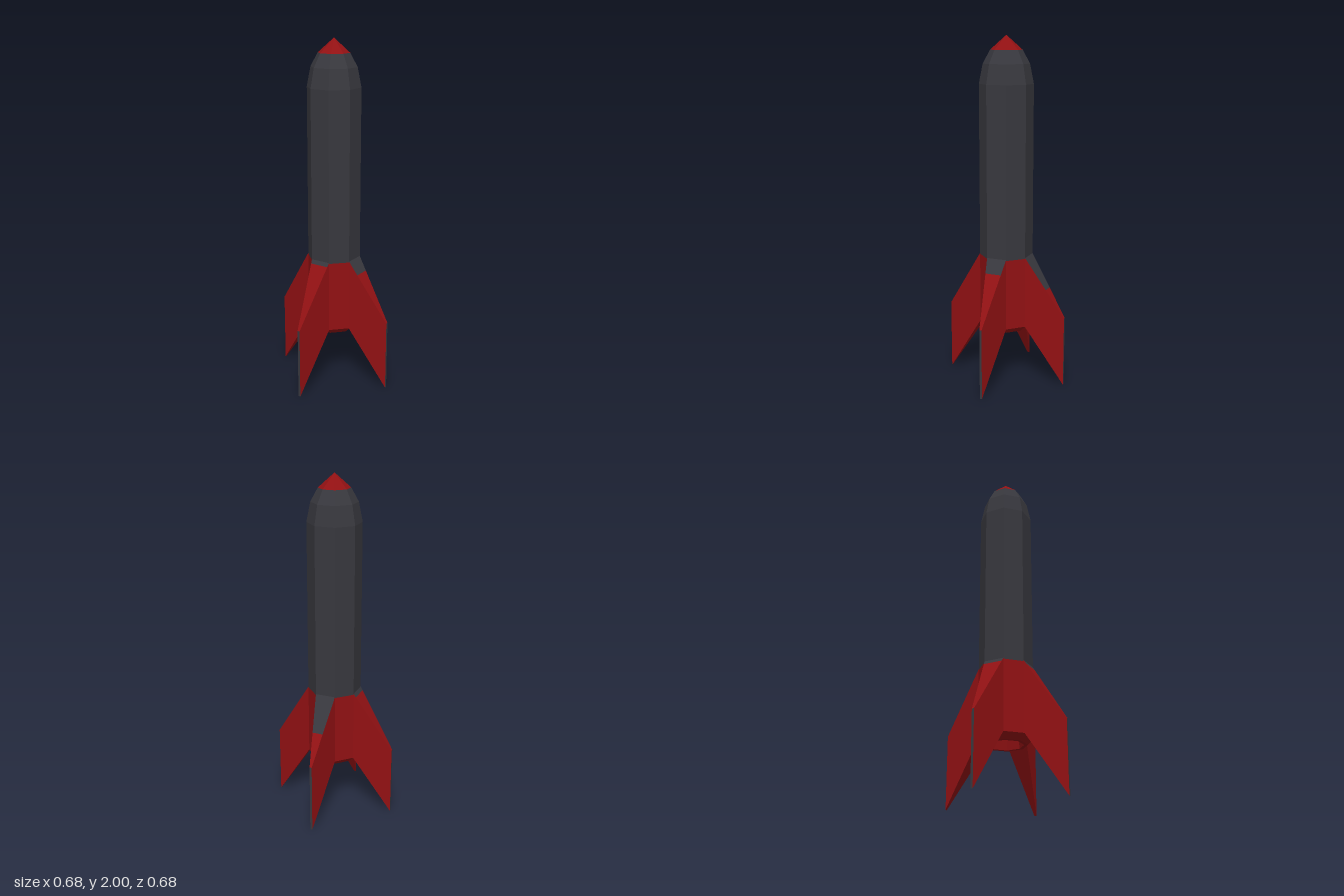
import * as THREE from 'three';

const R = 0.153, D = R * Math.SQRT1_2;

export function createModel() {
  const red = new THREE.MeshStandardMaterial({ color: 0x921113, flatShading: true });
  red.name = 'dark red';
  const grey = new THREE.MeshStandardMaterial({ color: 0x38383e, flatShading: true });
  grey.name = 'charcoal grey';

  const root = new THREE.Group();
  root.name = 'rocket';

  const add = (parent, geometry, material, name) => {
    const mesh = new THREE.Mesh(geometry, material);
    mesh.name = name;
    parent.add(mesh);
  };

  // Eight-sided turned sections, profile given as [radius, height]
  const turned = (profile, material, name) => add(root, new THREE.LatheGeometry(
    profile.map(([r, y]) => new THREE.Vector2(r, y)), 8), material, name);

  // Engine recess, rim, bevel and lower hull in one profile
  turned([[0, 0.4], [0.085, 0.4], [0.1, 0.312], [0.12, 0.312], [R, 0.345], [R, 0.755]], red, 'lowerHull');
  turned([[R, 0.755], [R, 1.735], [0.131, 1.845], [0.09, 1.92]], grey, 'upperHull');
  turned([[0.09, 1.92], [0, 2]], red, 'noseCap');

  // Flat four-cornered faces, corners counter-clockwise from outside
  const quads = (faces) => {
    const g = new THREE.BufferGeometry();
    const points = faces.flatMap(([a, b, c, d]) => [a, b, c, a, c, d]);
    g.setFromPoints(points);
    g.computeVertexNormals();
    return g;
  };

  // Each fin tapers from one hull facet to a narrow swept-down tip
  const v = (x, y, z) => new THREE.Vector3(x, y, z);
  const aTop = v(0, 0.76, R), aLow = v(0, 0.345, R);
  const bTop = v(D, 0.76, D), bLow = v(D, 0.345, D);
  const aTipTop = v(0.133, 0.41, 0.338), aTipLow = v(0.133, 0, 0.338);
  const bTipTop = v(0.145, 0.41, 0.333), bTipLow = v(0.145, 0, 0.333);

  // Share of each sloping top edge painted grey: front, left, back, right
  [0.22, 0.53, 0.06, 0.06].forEach((share, i) => {
    const fin = new THREE.Group();
    fin.name = ['frontFin', 'leftFin', 'backFin', 'rightFin'][i];
    fin.rotation.y = i * Math.PI / 2;
    const aMid = aTop.clone().lerp(aTipTop, share);
    const bMid = bTop.clone().lerp(bTipTop, share);
    add(fin, quads([
      [aLow, aTipLow, aTipTop, aTop],
      [bTipLow, bLow, bTop, bTipTop],
      [aLow, bLow, bTipLow, aTipLow],
      [aMid, aTipTop, bTipTop, bMid],
    ]), red, 'finBlade');
    add(fin, quads([
      [aTop, aMid, bMid, bTop],
      [aTipLow, bTipLow, bTipTop, aTipTop],
    ]), grey, 'finEdges');
    root.add(fin);
  });

  return root;
}
